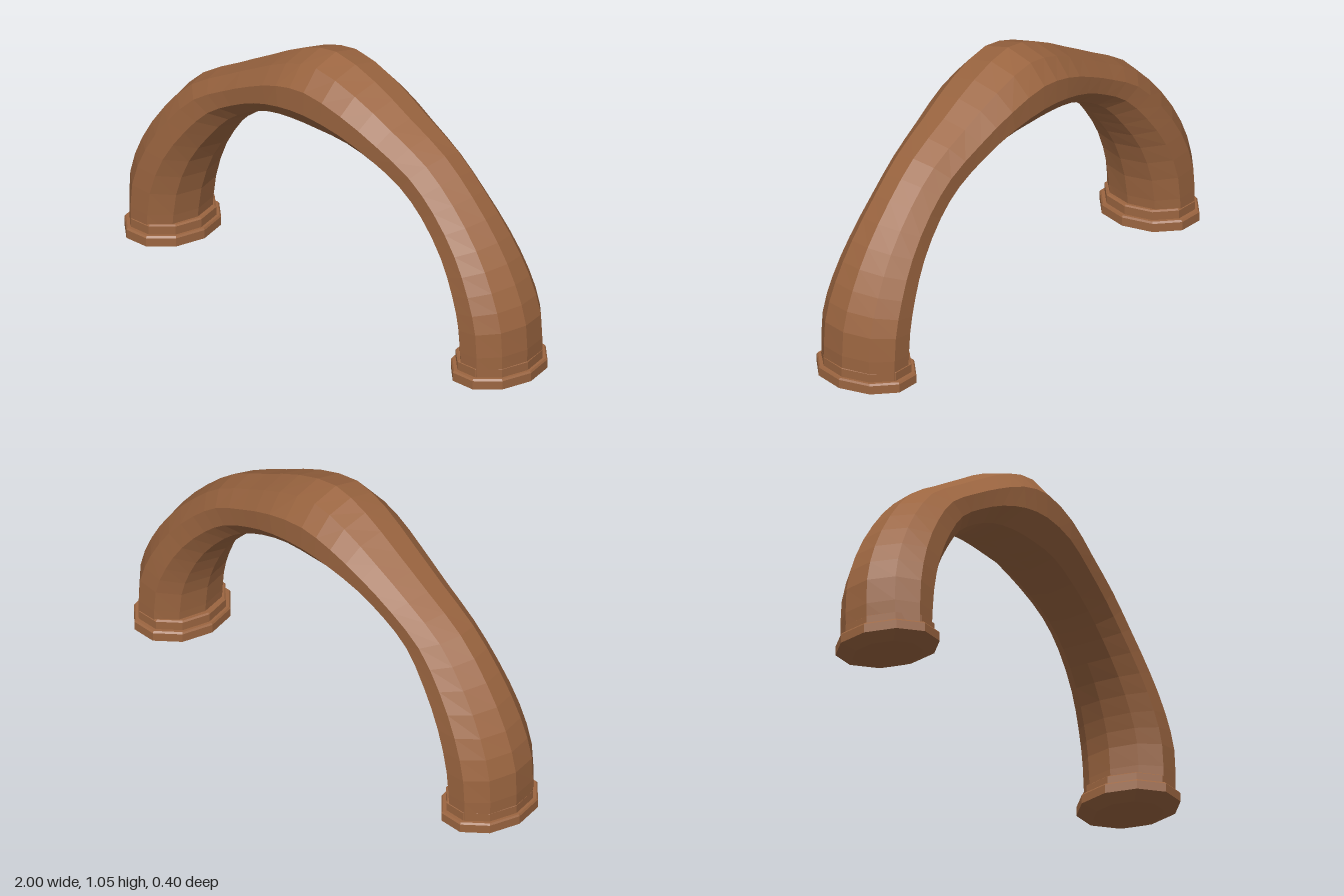
import * as THREE from 'three';

const SIDES = 10;

// Stations along the arch: outer x, outer y, inner x, inner y, half width
const STATIONS = [
  [-0.98, 0.05, -0.715, 0.05, 0.184],
  [-0.98, 0.25, -0.69, 0.23, 0.184],
  [-0.925, 0.41, -0.63, 0.39, 0.174],
  [-0.82, 0.575, -0.54, 0.52, 0.158],
  [-0.68, 0.72, -0.45, 0.62, 0.146],
  [-0.5, 0.825, -0.36, 0.68, 0.149],
  [-0.33, 0.92, -0.25, 0.725, 0.162],
  [-0.16, 1.01, -0.13, 0.74, 0.178],
  [0, 1.05, 0, 0.74, 0.184],
  [0.2, 0.995, 0.15, 0.735, 0.178],
  [0.38, 0.905, 0.29, 0.695, 0.16],
  [0.56, 0.81, 0.41, 0.635, 0.147],
  [0.7, 0.69, 0.5, 0.565, 0.146],
  [0.83, 0.545, 0.6, 0.45, 0.158],
  [0.92, 0.4, 0.665, 0.33, 0.174],
  [0.975, 0.25, 0.7, 0.22, 0.184],
  [0.98, 0.05, 0.715, 0.05, 0.184],
];

// Ten-sided tube lofted between the outer and inner edge curves
function archGeometry() {
  const outer = new THREE.CatmullRomCurve3(STATIONS.map(([x, y, , , w]) => new THREE.Vector3(x, y, w)));
  const inner = new THREE.CatmullRomCurve3(STATIONS.map(([, , x, y]) => new THREE.Vector3(x, y, 0)));
  const rings = (STATIONS.length - 1) * 2;
  const positions = [];
  const indices = [];
  for (let i = 0; i <= rings; i++) {
    const o = outer.getPoint(i / rings);
    const n = inner.getPoint(i / rings);
    for (let j = 0; j < SIDES; j++) {
      const a = (j / SIDES) * Math.PI * 2;
      const k = (1 + Math.cos(a)) / 2;
      positions.push(n.x + (o.x - n.x) * k, n.y + (o.y - n.y) * k, o.z * Math.sin(a));
      if (i === rings) continue;
      const p = i * SIDES + j;
      const q = i * SIDES + ((j + 1) % SIDES);
      indices.push(p, q, p + SIDES, p + SIDES, q, q + SIDES);
    }
  }
  const geometry = new THREE.BufferGeometry();
  geometry.setAttribute('position', new THREE.Float32BufferAttribute(positions, 3));
  geometry.setIndex(indices);
  geometry.computeVertexNormals();
  return geometry;
}

// Stepped foot with a bevelled underside, stretched into an oval
function footGeometry() {
  const profile = [
    [0, 0], [0.68, 0], [1, 0.026], [1, 0.06], [0.97, 0.067],
    [0.9, 0.067], [0.9, 0.1], [0.86, 0.105], [0, 0.105],
  ].map(([r, y]) => new THREE.Vector2(r, y));
  return new THREE.LatheGeometry(profile, SIDES, Math.PI / 2).scale(0.163, 1, 0.208);
}

export function createModel() {
  const model = new THREE.Group();
  model.name = 'archHandle';
  const brown = new THREE.MeshStandardMaterial({ color: 0x9b6540 });
  brown.name = 'brown';
  brown.flatShading = true;

  const arch = new THREE.Mesh(archGeometry(), brown);
  arch.name = 'arch';
  model.add(arch);

  // Matching feet
  const foot = footGeometry();
  for (const [name, side] of [['leftFoot', 1], ['rightFoot', -1]]) {
    const mesh = new THREE.Mesh(foot, brown);
    mesh.name = name;
    mesh.position.x = side * 0.837;
    mesh.rotation.y = side > 0 ? 0 : Math.PI;
    model.add(mesh);
  }
  return model;
}
